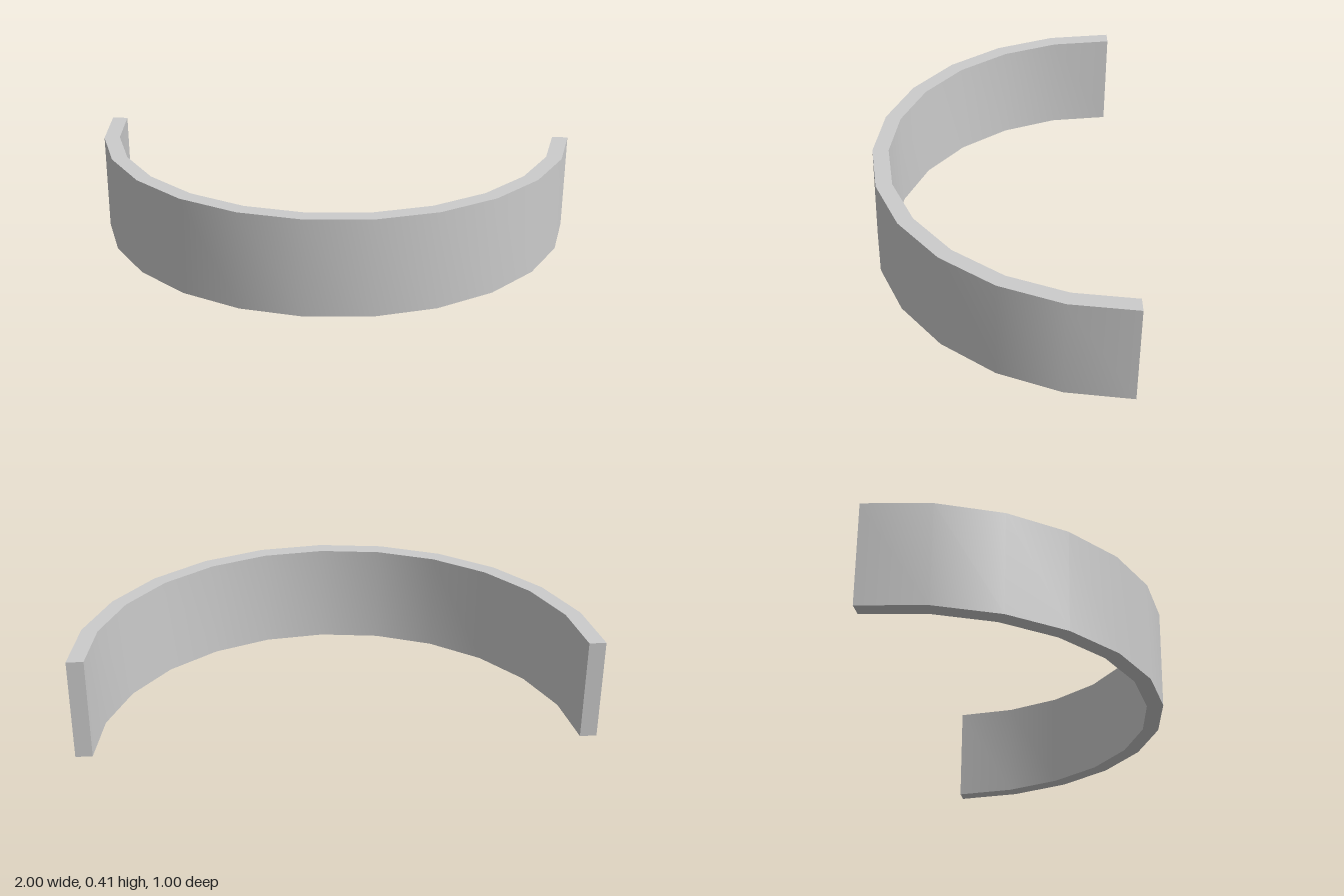
import * as THREE from 'three';
import { toCreasedNormals } from 'three/addons/utils/BufferGeometryUtils.js';

const OUTER = 1, INNER = 0.935, HEIGHT = 0.405;

export function createModel() {
  const group = new THREE.Group();
  group.name = 'halfRing';

  // Half-ring plan: outer arc, then back along the inner arc
  const plan = new THREE.Shape();
  plan.absarc(0, 0, OUTER, 0, Math.PI, false);
  plan.absarc(0, 0, INNER, Math.PI, 0, true);
  plan.closePath();

  // Arcs get two divisions per curve segment, so 6 gives 12 facets
  let geometry = new THREE.ExtrudeGeometry(plan, {
    depth: HEIGHT, bevelEnabled: false, curveSegments: 6,
  });
  // Lay the plan flat with the bulge facing +z, standing on y = 0
  geometry.rotateX(Math.PI / 2);
  geometry.translate(0, HEIGHT, -0.5);
  // Smooth around the wall, sharp at the rims and ends
  geometry = toCreasedNormals(geometry, 0.6);

  const wall = new THREE.Mesh(geometry, new THREE.MeshStandardMaterial({ color: 0xcccccc }));
  wall.name = 'curvedWall';
  group.add(wall);
  return group;
}
